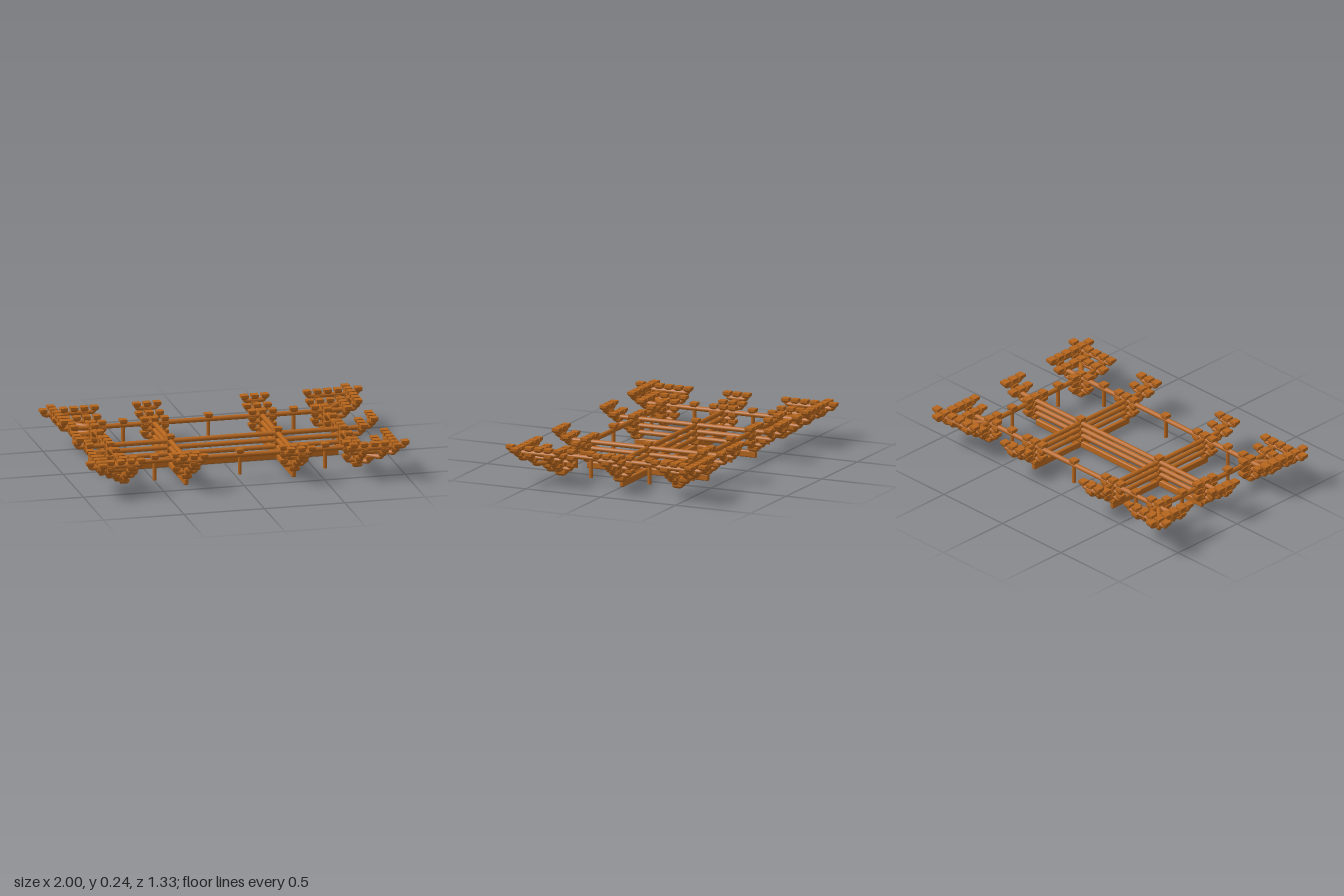
import * as THREE from 'three';
import { mergeGeometries } from 'three/addons/utils/BufferGeometryUtils.js';
import { RoundedBoxGeometry } from 'three/addons/geometries/RoundedBoxGeometry.js';

const STEP = 0.0635;                       // spacing of blocks and of outward steps
const NX = 0.725, MX = 0.335, NZ = 0.39;   // grid lines of the frame
const LEVEL = [0, 0.08, 0.122, 0.163, 0.203]; // centre height of each tier of arms
const R = 0.015, BEND = 0.018;

export function createModel() {
  const group = new THREE.Group();
  const smooth = new THREE.MeshStandardMaterial({ color: 0xb5651d });
  const faceted = new THREE.MeshStandardMaterial({ color: 0xb5651d, flatShading: true });
  const parts = {};
  const add = (name, geo) => (parts[name] ??= []).push(geo);

  // Round arm between two plan points, each end turned up into a block
  function arm(name, tier, x0, z0, x1, z1, bendStart = true) {
    const len = Math.hypot(x1 - x0, z1 - z0);
    const a = bendStart ? BEND : 0, straight = len - a - BEND;
    const pieces = [new THREE.CylinderGeometry(R, R, straight, 12, 1, bendStart)
      .rotateZ(Math.PI / 2).translate(a + straight / 2, 0, 0)];
    const elbow = () => new THREE.TorusGeometry(BEND, R, 12, 5, Math.PI / 2).rotateZ(-Math.PI / 2);
    pieces.push(elbow().translate(len - BEND, BEND, 0));
    if (bendStart) pieces.push(elbow().rotateY(Math.PI).translate(BEND, BEND, 0));
    const yaw = -Math.atan2(z1 - z0, x1 - x0);
    for (const g of pieces) add(name, g.rotateY(yaw).translate(x0, LEVEL[tier], z0));
  }

  // Square bearing block with a flared foot
  function block(name, x, y, z, w = 0.046, h = 0.028) {
    const q = w * Math.SQRT1_2;
    const profile = [[0, 0], [q * 0.65, 0], [q, h * 0.42], [q, h], [0, h]]
      .map(([r, v]) => new THREE.Vector2(r, v));
    add(name, new THREE.LatheGeometry(profile, 4).rotateY(Math.PI / 4).translate(x, y, z));
  }
  const cap = (tier, x, z) => block('bearingBlocks', x, LEVEL[tier] + 0.01, z);

  function post(x, z, top) {
    add('posts', new THREE.CylinderGeometry(0.012, 0.012, top - 0.042, 12)
      .translate(x, (top + 0.042) / 2, z));
  }

  // Arm carrying evenly spaced blocks, from step i0 to i1 along x or z
  function row(name, tier, x, z, dx, dz, i0, i1) {
    const at = i => [x + dx * i * STEP, z + dz * i * STEP];
    arm(name, tier, ...at(i0), ...at(i1));
    for (let i = i0; i <= i1; i++) cap(tier, ...at(i));
  }

  // Ground beams
  add('groundBeams', new RoundedBoxGeometry(1.42, 0.042, 0.026, 3, 0.008).translate(0, 0.021, 0));
  for (const x of [-MX, MX])
    add('groundBeams', new RoundedBoxGeometry(0.026, 0.042, 0.81, 3, 0.008).translate(x, 0.021, 0));

  // Stacked cross beams, each tier reaching one step further out
  for (let k = 1; k <= 3; k++) {
    const ex = NX + k * STEP, ez = NZ + k * STEP;
    arm('crossBeams', k, -ex, 0, ex, 0);
    for (const s of [-1, 1]) {
      cap(k, s * ex, 0);
      arm('crossBeams', k, s * MX, -ez, s * MX, ez);
      for (const t of [-1, 1]) cap(k, s * MX, t * ez);
    }
  }

  // Perimeter beams on the third tier, run out past the corners
  for (const s of [-1, 1]) {
    arm('perimeterBeams', 3, -NX - 3 * STEP, s * NZ, NX + 3 * STEP, s * NZ);
    arm('perimeterBeams', 3, s * NX, -NZ - 3 * STEP, s * NX, NZ + 3 * STEP);
  }

  // Base block, centre post and stacked centre blocks of every joint
  for (const x of [-NX, -MX, MX, NX]) for (const z of [-NZ, 0, NZ]) {
    block('baseBlocks', x, 0.04, z, 0.062, 0.03);
    post(x, z, 0.175);
    for (let k = 1; k <= 3; k++) cap(k, x, z);
  }

  // Bracket set on a straight side: wall rows, then two stepped outer rows
  function sideBracket(x, z, ox, oz) {
    const dx = Math.abs(oz), dz = Math.abs(ox);
    for (let k = 1; k <= 2; k++) row('wallArms', k, x, z, dx, dz, -1, 1);
    for (const i of [-1, 1]) cap(3, x + dx * i * STEP, z + dz * i * STEP);
    for (const n of [2, 3])
      row('outerArms', n + 1, x + ox * n * STEP, z + oz * n * STEP, dx, dz, -1, 1);
  }
  for (const s of [-1, 1]) {
    sideBracket(s * NX, 0, s, 0);
    for (const x of [-MX, MX]) sideBracket(x, s * NZ, 0, s);
  }

  // Corner bracket sets with arms both ways and on the diagonal
  for (const sx of [-1, 1]) for (const sz of [-1, 1]) {
    const x = sx * NX, z = sz * NZ;
    for (let k = 1; k <= 3; k++) {
      const d = k * STEP;
      if (k < 3) {
        arm('cornerArms', k, x - sx * STEP, z, x + sx * d, z);
        arm('cornerArms', k, x, z - sz * STEP, x, z + sz * d);
        cap(k, x - sx * STEP, z);
        cap(k, x, z - sz * STEP);
      }
      cap(k, x + sx * d, z);
      cap(k, x, z + sz * d);
      arm('diagonalArms', k, x, z, x + sx * d, z + sz * d, false);
      cap(k, x + sx * d, z + sz * d);
    }
    cap(3, x - sx * STEP, z);
    cap(3, x, z - sz * STEP);
    for (const n of [2, 3]) {
      row('outerArms', n + 1, x, z + sz * n * STEP, sx, 0, -1, n + 1);
      row('outerArms', n + 1, x + sx * n * STEP, z, 0, sz, -1, n + 1);
    }
  }

  // Struts between the bracket sets
  const struts = [];
  for (const s of [-1, 1]) {
    for (const x of [-0.53, 0, 0.53]) struts.push([x, s * NZ]);
    for (const z of [-0.195, 0.195]) struts.push([s * NX, z]);
  }
  for (const [x, z] of struts) {
    post(x, z, 0.18);
    cap(3, x, z);
  }

  for (const [name, geos] of Object.entries(parts)) {
    const mesh = new THREE.Mesh(mergeGeometries(geos), name.endsWith('Blocks') ? faceted : smooth);
    mesh.name = name;
    group.add(mesh);
  }
  return group;
}
